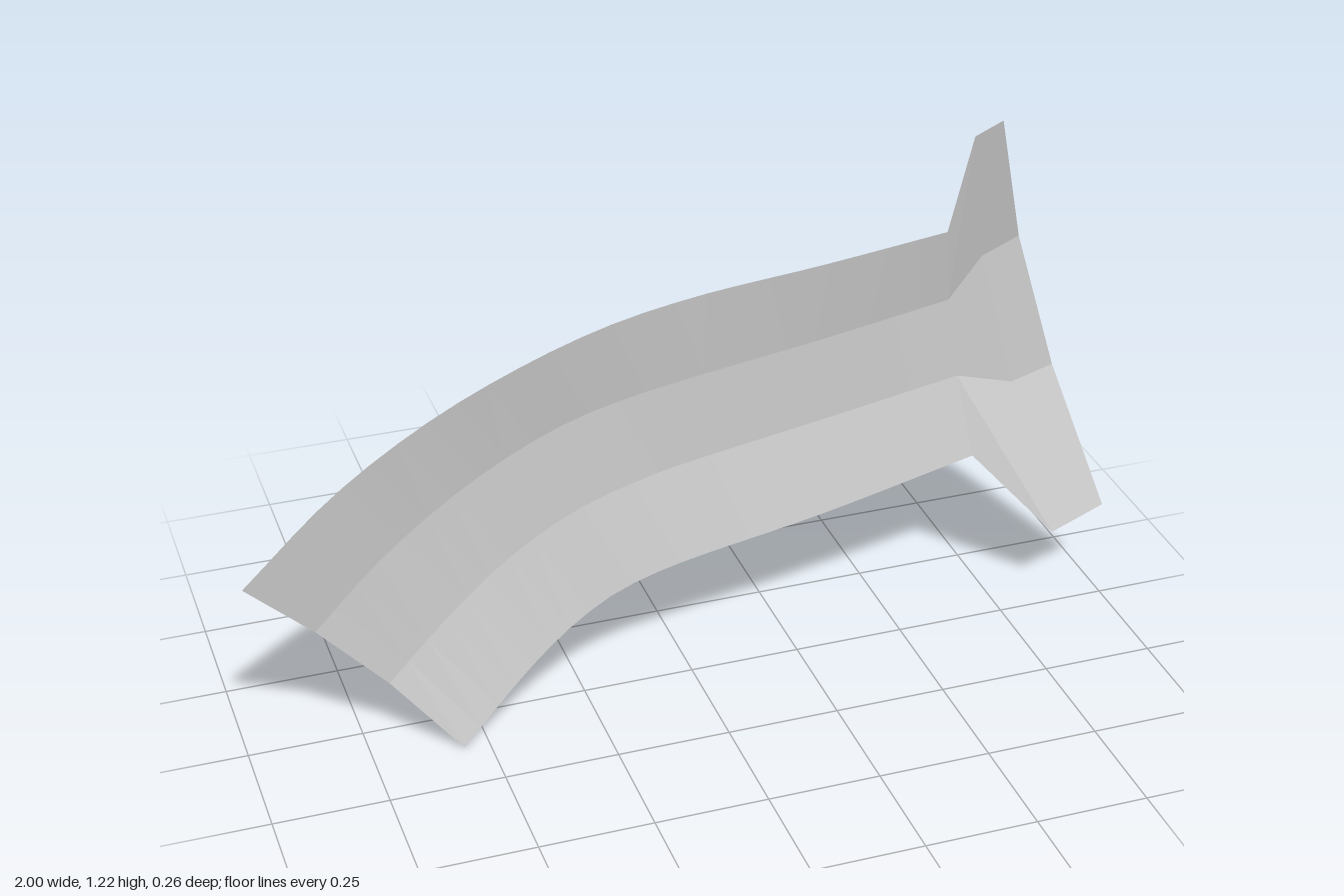
import * as THREE from 'three';

// Four rails running along the channel, top to bottom: [x, y, z] points
const RAILS = [
  [[-1, 0.5, 0.13], [-0.8, 0.67, 0.11], [-0.6, 0.79, 0.092], [-0.4, 0.87, 0.07], [-0.2, 0.92, 0.042],
    [0, 0.942, 0.015], [0.3, 0.949, -0.024], [0.6, 0.96, -0.065]],
  [[-0.85, 0.335, 0.08], [-0.7, 0.475, 0.067], [-0.5, 0.607, 0.045], [-0.3, 0.69, 0.02], [-0.15, 0.72, 0.002],
    [0, 0.735, -0.015], [0.3, 0.75, -0.058], [0.63, 0.77, -0.11]],
  [[-0.7, 0.17, 0.075], [-0.55, 0.31, 0.058], [-0.4, 0.418, 0.037], [-0.25, 0.485, 0.017], [-0.1, 0.519, -0.002],
    [0, 0.531, -0.015], [0.3, 0.55, -0.058], [0.66, 0.575, -0.11]],
  [[-0.555, 0, 0.12], [-0.4, 0.142, 0.085], [-0.3, 0.217, 0.066], [-0.2, 0.27, 0.05], [-0.1, 0.3, 0.04],
    [0, 0.316, 0.03], [0.3, 0.341, -0.01], [0.69, 0.385, -0.07]],
];

// Flared end plate, one row per rail: inner point, outer point
const FLARE = [
  [[0.63, 1.2, -0.015], [0.7, 1.22, -0.03]],
  [[0.71, 0.86, -0.12], [0.8, 0.89, -0.13]],
  [[0.8, 0.53, -0.12], [0.9, 0.555, -0.125]],
  [[0.87, 0.185, -0.005], [1, 0.225, -0.02]],
];

const vec = (p) => new THREE.Vector3(...p);

// Skin a strip between two rows of points; flip swaps the quad diagonal
function strip(upper, lower, flip) {
  const points = [];
  for (let i = 0; i < upper.length - 1; i++) {
    const a = upper[i], b = lower[i], d = lower[i + 1], e = upper[i + 1];
    points.push(...(flip ? [a, b, d, a, d, e] : [a, b, e, b, d, e]));
  }
  const geometry = new THREE.BufferGeometry().setFromPoints(points);
  geometry.computeVertexNormals();
  return geometry;
}

export function createModel() {
  const group = new THREE.Group();
  const grey = new THREE.MeshStandardMaterial({ color: 0xcccccc });
  grey.name = 'plain grey';
  grey.side = THREE.DoubleSide;
  grey.flatShading = true;

  const rails = RAILS.map((r) => new THREE.CatmullRomCurve3(r.map(vec)).getSpacedPoints(24));
  const flare = FLARE.map((row, i) => [rails[i][24], ...row.map(vec)]);

  const names = ['upper', 'middle', 'lower'];
  names.forEach((name, i) => {
    // Curved channel panel
    const panel = new THREE.Mesh(strip(rails[i], rails[i + 1], false), grey);
    panel.name = name + 'ChannelPanel';
    // Matching panel of the flared end
    const end = new THREE.Mesh(strip(flare[i], flare[i + 1], i === 2), grey);
    end.name = name + 'EndFlare';
    group.add(panel, end);
  });
  return group;
}
